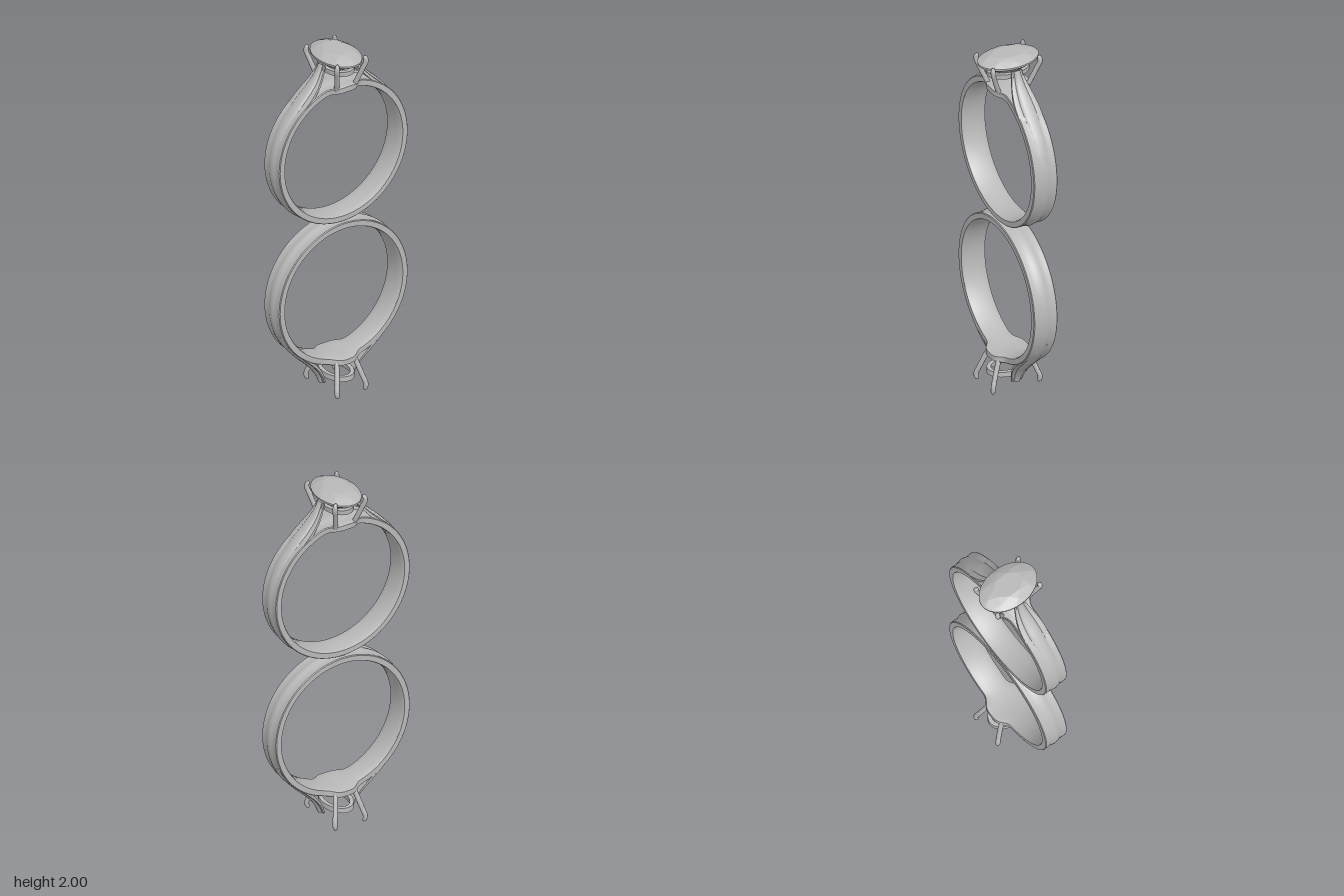
import * as THREE from 'three';
import { toCreasedNormals } from 'three/addons/utils/BufferGeometryUtils.js';
import { ConvexGeometry } from 'three/addons/geometries/ConvexGeometry.js';

const metal = new THREE.MeshStandardMaterial({ color: 0xb8b8b8 });
metal.name = 'silver grey';

const V = (x, y, z) => new THREE.Vector3(x, y, z);
const CENTRE = 1.41; // height of the upper band's centre

// Skins a list of equal cross-section loops; capped unless the path is closed.
function loft(rings, closed, crease = 0.6) {
  const n = rings[0].length, m = rings.length;
  const pts = rings.flat(), tris = [];
  for (let i = 0; i < (closed ? m : m - 1); i++) {
    for (let j = 0; j < n; j++) {
      const a = i * n + j, b = i * n + (j + 1) % n;
      const c = ((i + 1) % m) * n + j, d = ((i + 1) % m) * n + (j + 1) % n;
      tris.push([a, b, d], [a, d, c]);
    }
  }
  if (!closed) {
    for (const [start, flip] of [[0, true], [(m - 1) * n, false]]) {
      const mid = V(0, 0, 0);
      for (let j = 0; j < n; j++) mid.addScaledVector(pts[start + j], 1 / n);
      const k = pts.push(mid) - 1;
      for (let j = 0; j < n; j++) {
        const a = start + j, b = start + (j + 1) % n;
        tris.push(flip ? [k, b, a] : [k, a, b]);
      }
    }
  }
  // Turn all faces outward
  let volume = 0;
  for (const [a, b, c] of tris) volume += pts[a].dot(pts[b].clone().cross(pts[c]));
  if (volume < 0) tris.forEach(t => t.reverse());
  const geo = new THREE.BufferGeometry().setFromPoints(pts);
  geo.setIndex(tris.flat());
  return toCreasedNormals(geo, crease);
}

function add(group, name, geo) {
  const mesh = new THREE.Mesh(geo, metal);
  mesh.name = name;
  group.add(mesh);
  return mesh;
}

// Band: rounded inside, low ridge outside, widened to a plate under the setting
function bandGeometry() {
  const half = [[0, 0.368], [0.5, 0.37], [0.9, 0.374], [1, 0.378], [1, 0.407],
    [0.94, 0.411], [0.7, 0.411], [0.42, 0.409], [0.25, 0.414], [0, 0.417]];
  const profile = [...half, ...half.slice(1, -1).reverse().map(([z, r]) => [-z, r])];
  const rings = [];
  for (let i = 0; i < 160; i++) {
    const a = (i / 160) * Math.PI * 2 - Math.PI;
    const w = 0.07 + 0.04 * Math.exp(-Math.pow(a / 0.2, 4));
    rings.push(profile.map(([z, r]) => V(r * Math.sin(a), CENTRE + r * Math.cos(a), z * w)));
  }
  return loft(rings, true);
}

// Shoulder: leaves the band and rises to the setting, narrowing on the way
function shoulderGeometry() {
  const path = new THREE.CatmullRomCurve3([V(0.38, 1.58, 0), V(0.345, 1.643, 0), V(0.3, 1.7, 0),
    V(0.25, 1.755, 0), V(0.2, 1.803, 0), V(0.155, 1.853, 0), V(0.125, 1.9, 0), V(0.108, 1.94, 0)]);
  const rings = [];
  for (let i = 0; i <= 28; i++) {
    const t = i / 28, p = path.getPoint(t), d = path.getTangent(t);
    const out = V(d.y, -d.x, 0);
    const w = 0.068 - 0.036 * Math.pow(THREE.MathUtils.smoothstep(t, 0.45, 1), 1.1);
    const thick = 0.04 - 0.018 * t;
    const half = [[0, 0], [0.3, -0.002], [0.45, -0.006], [0.55, -0.012],
      [0.8, -0.011], [1, -0.015], [1, -thick]];
    const profile = [...half, ...half.slice(1).reverse().map(([z, n]) => [-z, n])];
    rings.push(profile.map(([z, n]) => p.clone().addScaledVector(out, n).setZ(z * w)));
  }
  return loft(rings, false);
}

// Claw prong: bows outward and hooks in at the rounded tip
function prongGeometry(sx, sz) {
  const path = new THREE.CatmullRomCurve3([V(0.055, 1.79, 0.08), V(0.068, 1.85, 0.104),
    V(0.083, 1.91, 0.126), V(0.093, 1.95, 0.139), V(0.09, 1.972, 0.138), V(0.083, 1.982, 0.131)]);
  const rings = [];
  for (let i = 0; i <= 18; i++) {
    const t = i / 18, p = path.getPoint(t), d = path.getTangent(t);
    const u = d.clone().cross(V(1, 0, -0.6)).normalize(), v = d.clone().cross(u).normalize();
    const r = 0.0135 * Math.sqrt(Math.max(0.04, 1 - Math.pow(t, 6)));
    const ring = [];
    for (let j = 0; j < 10; j++) {
      const a = (j / 10) * Math.PI * 2;
      const q = p.clone().addScaledVector(u, r * Math.cos(a)).addScaledVector(v, r * Math.sin(a));
      ring.push(V(q.x * sx, q.y, q.z * sz));
    }
    rings.push(ring);
  }
  return loft(rings, false, 1);
}

// Oval rail tying the prongs together
function railGeometry() {
  const rings = [];
  for (let i = 0; i < 48; i++) {
    const a = (i / 48) * Math.PI * 2;
    rings.push([[-0.011, -0.014], [0.011, -0.014], [0.013, 0.014], [-0.009, 0.014]].map(
      ([r, y]) => V((0.07 + r) * Math.cos(a), 1.898 + y, (0.108 + r) * Math.sin(a))));
  }
  return loft(rings, true);
}

// Oval cut stone: table, crown, girdle, pavilion and culet
function stoneGeometry() {
  const pts = [V(0, 1.86, 0)];
  const tier = (n, scale, y, shift) => {
    for (let i = 0; i < n; i++) {
      const a = ((i + shift) / n) * Math.PI * 2;
      pts.push(V(0.116 * scale * Math.cos(a), y, 0.171 * scale * Math.sin(a)));
    }
  };
  tier(8, 0.52, 2.0, 0.5);
  tier(8, 0.78, 1.988, 0);
  tier(32, 1, 1.968, 0);
  tier(32, 1, 1.958, 0);
  tier(8, 0.6, 1.918, 0.5);
  return new ConvexGeometry(pts);
}

function createRing() {
  const ring = new THREE.Group();
  add(ring, 'band', bandGeometry());
  add(ring, 'leftShoulder', shoulderGeometry());
  add(ring, 'rightShoulder', shoulderGeometry()).rotation.y = Math.PI;
  for (const sx of [1, -1]) {
    for (const sz of [1, -1]) {
      add(ring, (sz > 0 ? 'front' : 'back') + (sx > 0 ? 'Left' : 'Right') + 'Prong', prongGeometry(sx, sz));
    }
  }
  add(ring, 'settingRail', railGeometry());
  return ring;
}

export function createModel() {
  const model = new THREE.Group();
  model.name = 'ringPair';

  const upper = createRing();
  upper.name = 'upperRing';
  add(upper, 'stone', stoneGeometry());

  // Lower ring is turned upside down and has an empty setting
  const lower = createRing();
  lower.name = 'lowerRing';
  lower.rotation.x = Math.PI;
  lower.position.y = 1.985;

  model.add(upper, lower);
  return model;
}
